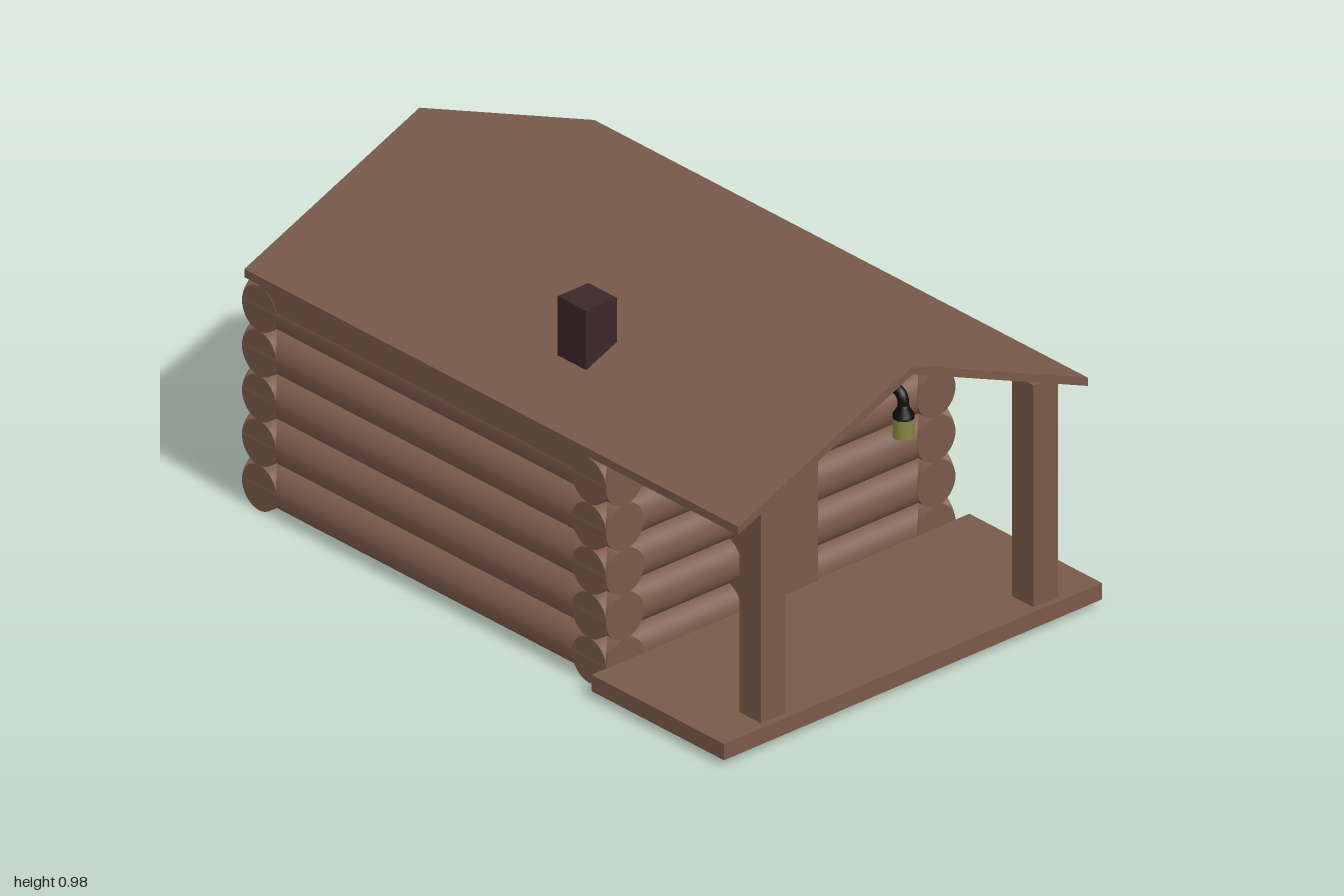
import * as THREE from 'three';

const mat = (color) => new THREE.MeshStandardMaterial({ color });

export function createModel() {
  const cabin = new THREE.Group();
  cabin.name = 'logCabin';
  const wood = mat(0x7a5a4a), brick = mat(0x3d272b), black = mat(0x0c0c0c), glass = mat(0x85853f);

  const add = (name, geometry, material, parent = cabin) => {
    const mesh = new THREE.Mesh(geometry, material);
    mesh.name = name;
    parent.add(mesh);
    return mesh;
  };
  // Box given by its limits on each axis
  const box = (name, [x0, x1], [y0, y1], [z0, z1], material = wood) =>
    add(name, new THREE.BoxGeometry(x1 - x0, y1 - y0, z1 - z0), material)
      .position.set((x0 + x1) / 2, (y0 + y1) / 2, (z0 + z1) / 2);
  // Outline in (z, y), extruded along x
  const prism = (name, points, x0, x1) => {
    const shape = new THREE.Shape(points.map(([z, y]) => new THREE.Vector2(-z, y)));
    const geometry = new THREE.ExtrudeGeometry(shape, { depth: x1 - x0, bevelEnabled: false });
    geometry.rotateY(Math.PI / 2);
    add(name, geometry, wood).position.x = x0;
  };

  // Log walls: five courses crossing at the corners
  const R = 0.069, backX = -0.933, frontX = 0.397, sideZ = 0.567;
  for (let i = 0; i < 5; i++) {
    const y = R + i * 0.137;
    for (const s of [-1, 1]) {
      const side = add('sideLog', new THREE.CylinderGeometry(R, R, 1.468, 32), wood);
      side.rotation.z = Math.PI / 2;
      side.position.set(-0.267, y, s * sideZ);
      const end = add('endLog', new THREE.CylinderGeometry(R, R, 1.27, 32), wood);
      end.rotation.x = Math.PI / 2;
      end.position.set(s < 0 ? backX : frontX, y, 0);
    }
  }
  box('floor', [backX, frontX], [0.02, 0.07], [-sideZ, sideZ]);

  // Attic with gable ends, under a pitched roof that also covers the porch
  prism('attic', [[0.634, 0.605], [-0.634, 0.605], [-0.634, 0.7], [0, 0.965], [0.634, 0.7]], -0.935, 0.4);
  prism('roof', [[0.637, 0.692], [0, 0.956], [-0.637, 0.692], [-0.637, 0.717], [0, 0.983], [0.637, 0.717]], -0.99, 1);
  box('chimney', [0.057, 0.172], [0.75, 0.98], [0.33, 0.442], brick);

  // Porch
  box('porchDeck', [0.465, 1], [0.02, 0.07], [-0.688, 0.688]);
  for (const z of [-0.501, 0.491]) box('porchPost', [0.892, 0.98], [0.07, 0.75], [z - 0.044, z + 0.044]);

  // Door with knob
  box('door', [0.4, 0.476], [0.07, 0.49], [-0.127, 0.142]);
  add('doorKnob', new THREE.SphereGeometry(0.016, 20, 14), black).position.set(0.498, 0.245, 0.108);
  const stem = add('knobStem', new THREE.CylinderGeometry(0.006, 0.006, 0.03, 12), black);
  stem.rotation.z = Math.PI / 2;
  stem.position.set(0.483, 0.245, 0.108);

  // Wall lamps: bent arm, flared cap and glass shade
  const arm = new THREE.CurvePath();
  const v = (x, y) => new THREE.Vector3(x, y, 0);
  arm.add(new THREE.LineCurve3(v(0.45, 0.618), v(0.55, 0.618)));
  arm.add(new THREE.QuadraticBezierCurve3(v(0.55, 0.618), v(0.588, 0.618), v(0.588, 0.58)));
  for (const z of [0.303, -0.337]) {
    const lamp = new THREE.Group();
    lamp.name = 'wallLamp';
    lamp.position.z = z;
    add('lampArm', new THREE.TubeGeometry(arm, 24, 0.016, 14), black, lamp);
    const cap = [[0, 0.598], [0.013, 0.592], [0.017, 0.572], [0.03, 0.55], [0.03, 0.541], [0, 0.541]]
      .reverse().map(([r, y]) => new THREE.Vector2(r, y));
    add('lampCap', new THREE.LatheGeometry(cap, 24), black, lamp).position.x = 0.588;
    add('lampGlass', new THREE.CylinderGeometry(0.03, 0.03, 0.058, 24), glass, lamp).position.set(0.588, 0.513, 0);
    cabin.add(lamp);
  }
  return cabin;
}
